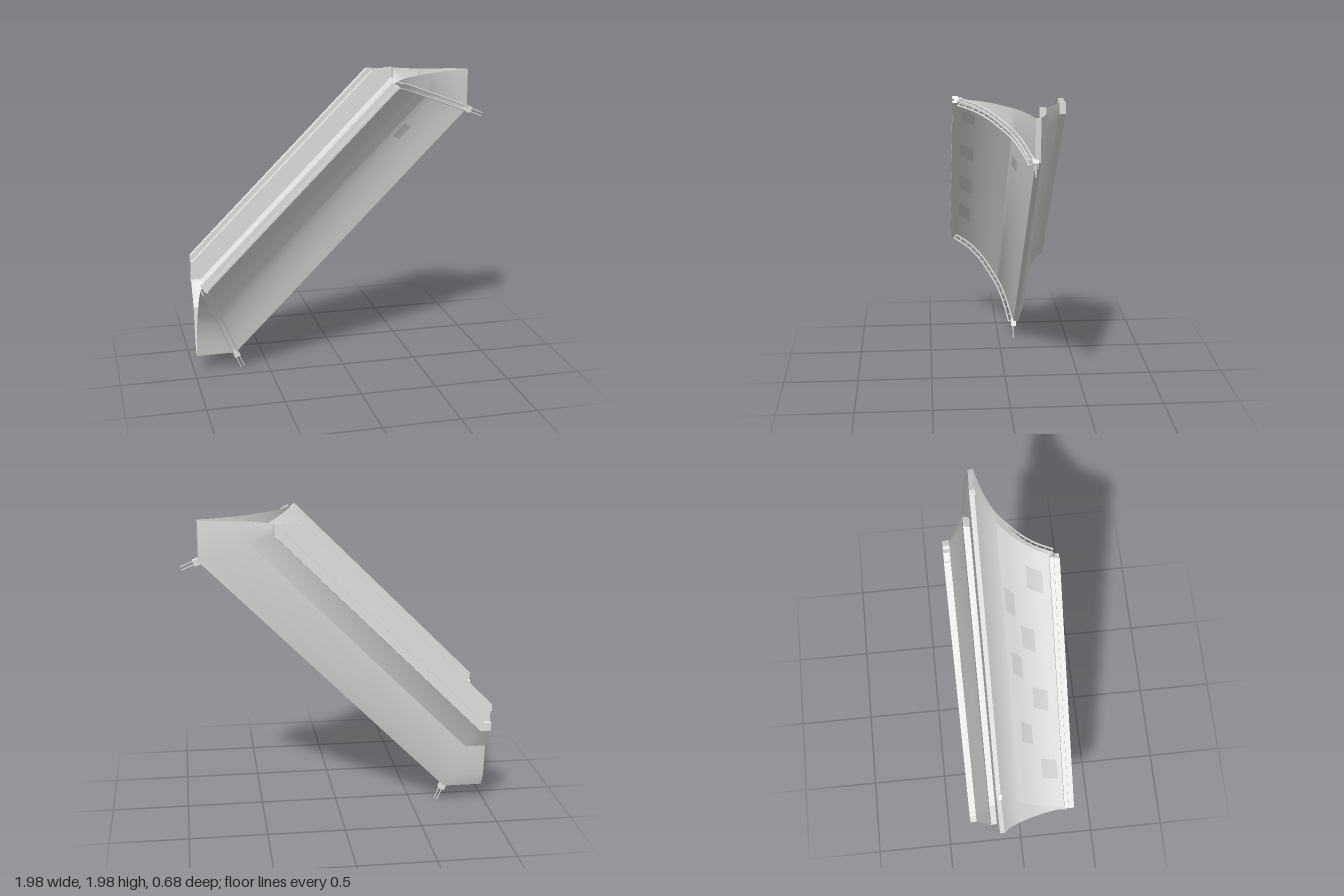
import * as THREE from 'three';
import { toCreasedNormals } from 'three/addons/utils/BufferGeometryUtils.js';

const TOP = 1.98;
const shell = new THREE.MeshStandardMaterial({ color: 0xdcdcdc, side: THREE.DoubleSide });
shell.name = 'shell grey';
const frame = new THREE.MeshStandardMaterial({ color: 0xe2e2e2, side: THREE.DoubleSide });
frame.name = 'frame light grey';
const patchMat = new THREE.MeshStandardMaterial({ color: 0xcccccc, side: THREE.DoubleSide });
patchMat.name = 'patch grey';

// Height of the corner seam above a profile position
const seamY = (x) => Math.min(TOP, 1.97 - 0.414 * (x - 0.27));
const seam = (x, z) => new THREE.Vector3(x, seamY(x), z);
// Reflection that carries the upper end onto the lower end
const flip = (v) => new THREE.Vector3(1 - v.y, 1 - v.x, v.z);

function add(parent, name, geometry, material) {
  const mesh = new THREE.Mesh(geometry, material);
  mesh.name = name;
  parent.add(mesh);
  return mesh;
}

// Grid of rows of points turned into a creased surface
function surface(rows, crease = 0.4) {
  const n = rows[0].length, pos = [], index = [];
  rows.forEach((r) => r.forEach((v) => pos.push(v.x, v.y, v.z)));
  for (let i = 0; i < rows.length - 1; i++) {
    for (let j = 0; j < n - 1; j++) {
      const a = i * n + j, b = a + 1, c = a + n, d = c + 1;
      index.push(a, b, c, b, d, c);
    }
  }
  const g = new THREE.BufferGeometry();
  g.setAttribute('position', new THREE.Float32BufferAttribute(pos, 3));
  g.setIndex(index);
  return toCreasedNormals(g, crease);
}

// Sweep a profile around both corners: upper return, long side, lower return
function sweep(profile) {
  return surface(profile.map(([x, z]) => {
    const end = new THREE.Vector3(x, TOP, z), corner = seam(x, z);
    return [end, corner, flip(corner), flip(end)];
  }));
}

// Straight bar between two points
function bar(parent, name, a, b, radius) {
  const g = new THREE.CylinderGeometry(radius, radius, a.distanceTo(b), 4);
  const m = add(parent, name, g, frame);
  m.position.copy(a).lerp(b, 0.5);
  m.quaternion.setFromUnitVectors(new THREE.Vector3(0, 1, 0), b.clone().sub(a).normalize());
}

export function createModel() {
  const model = new THREE.Group();
  model.name = 'curvedHullPanel';

  // Concave front shell
  const curve = new THREE.SplineCurve([
    [0.26, 0.3], [0.33, 0.19], [0.42, 0.1], [0.52, 0.03],
    [0.62, -0.03], [0.75, -0.08], [0.88, -0.113],
  ].map((p) => new THREE.Vector2(...p)));
  const front = curve.getPoints(24).map((p) => [p.x, p.y]);
  add(model, 'frontShell', sweep(front), shell);

  // Lower edge, stepped back shell and its inner ledge
  add(model, 'lowerEdge', sweep([[0.88, -0.113], [0.875, -0.145]]), shell);
  add(model, 'backShell', sweep([
    [0.875, -0.145], [0.78, -0.185], [0.57, -0.21], [0.42, -0.3],
  ]), shell);
  add(model, 'innerLedge', sweep([[0.565, -0.205], [0.555, -0.165]]), shell);

  // Double flange along the back
  add(model, 'backFlange', sweep([
    [0.42, -0.3], [0.415, -0.34], [0.36, -0.34], [0.36, -0.305],
    [0.28, -0.305], [0.28, -0.34], [0.235, -0.34], [0.235, -0.3],
  ]), frame);

  // Rail along the upper front edge, in a frame turned along the long side
  const long = new THREE.Group();
  long.name = 'frontRail';
  long.position.set(0, 1, 0);
  long.rotation.z = Math.PI / 4;
  model.add(long);
  for (const [p, z, h, d, len] of [
    [0.508, 0.305, 0.035, 0.05, 1.74], [0.528, 0.323, 0.02, 0.035, 1.73],
    [0.49, 0.325, 0.02, 0.03, 1.75],
  ]) add(long, 'railStrip', new THREE.BoxGeometry(len, h, d), frame).position.set(0, p, z);

  // Thin patches that follow the front shell, on either face
  function patch(t0, t1, s0, s1, lift) {
    const rows = [];
    for (let i = 0; i <= 6; i++) {
      const t = t0 + (t1 - t0) * i / 6;
      const c = curve.getPoint(t), d = curve.getTangent(t);
      const x = c.x - d.y * lift, z = c.y + d.x * lift;
      const a = flip(seam(x, z)), b = seam(x, z);
      rows.push([a.clone().lerp(b, s0), a.clone().lerp(b, s1)]);
    }
    add(model, 'patch', surface(rows), patchMat);
  }
  patch(0.63, 0.71, 0.82, 0.875, 0.003);
  for (const [a, b] of [[0.18, 0.28], [0.4, 0.5], [0.64, 0.72], [0.88, 0.94]]) {
    patch(0.02, 0.15, a, b, 0.003);
  }
  for (const [t, s] of [[0.08, 0.12], [0.3, 0.25], [0.12, 0.4], [0.36, 0.5],
    [0.2, 0.62], [0.4, 0.72], [0.1, 0.85]]) patch(t, t + 0.14, s, s + 0.08, -0.004);

  // Ladder ribs on both corner seams, with an end clamp and twin prongs
  const across = new THREE.Vector3(0.383, 0.924, 0);
  for (const lower of [false, true]) {
    const rib = new THREE.Group();
    rib.name = lower ? 'lowerRib' : 'upperRib';
    model.add(rib);
    const place = (v) => (lower ? flip(v) : v);
    const at = (t, lift, side) => {
      const c = curve.getPoint(t), d = curve.getTangent(t);
      const v = new THREE.Vector3(c.x - d.y * lift, 0, c.y + d.x * lift);
      v.y = 1.97 - 0.414 * (v.x - 0.27);
      return place(v.addScaledVector(across, side));
    };
    const steps = Array.from({ length: 17 }, (_, i) => 0.02 + 0.95 * i / 16);
    add(rib, 'ribBase', surface(steps.map((t) => [at(t, 0.009, -0.018), at(t, 0.009, 0.018)])), frame);
    for (const side of [-0.016, 0.016]) {
      for (const lift of [0.006, 0.034]) {
        const path = new THREE.CatmullRomCurve3(steps.map((t) => at(t, lift, side)));
        add(rib, 'ribChord', new THREE.TubeGeometry(path, 32, 0.006, 4), frame);
      }
      for (const t of steps) {
        bar(rib, 'ribRung', at(t, 0.004, side), at(t, 0.036, side), 0.004);
      }
      const near = new THREE.Vector3(0.88, 1.717, -0.108).addScaledVector(across, side * 0.7);
      const far = new THREE.Vector3(0.985, 1.673, -0.108).addScaledVector(across, side * 0.7);
      bar(rib, 'prong', place(near), place(far), 0.004);
    }
    const clamp = add(rib, 'clamp', new THREE.BoxGeometry(0.06, 0.042, 0.036), frame);
    clamp.position.copy(place(new THREE.Vector3(0.878, 1.718, -0.113)));
    clamp.rotation.z = lower ? -Math.PI * 0.375 : -Math.PI / 8;
  }
  return model;
}
